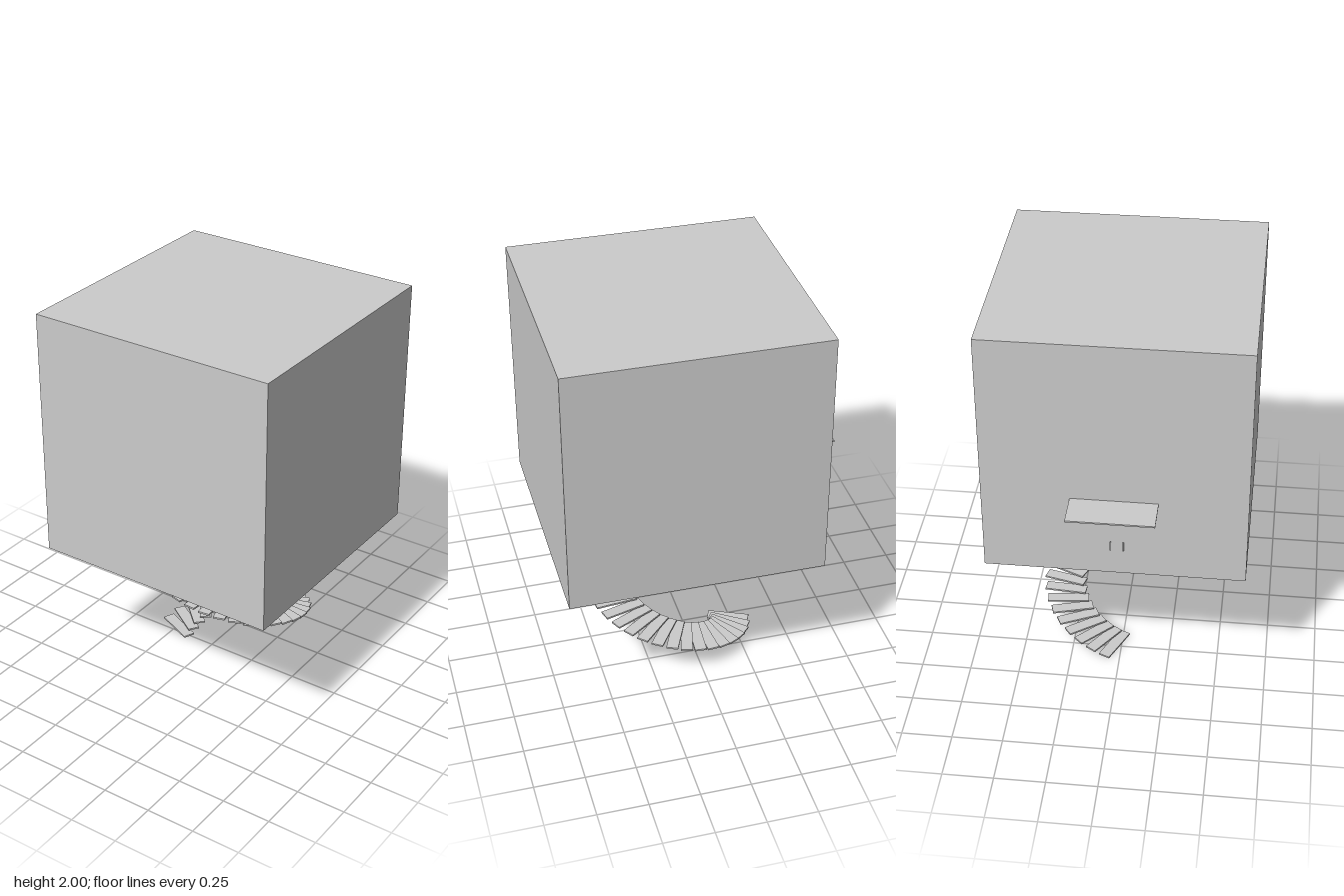
import * as THREE from 'three';

const CX = 0.0875;           // vertical axis of the house and the stair
const HALF = 0.6325;         // half width of the cube
const BASE = 0.735, TOP = 2; // cube floor and roof heights
const T = 0.01;              // panel thickness

export function createModel() {
  const model = new THREE.Group();
  const grey = new THREE.MeshStandardMaterial({ color: 0xcccccc });
  const thin = new THREE.MeshStandardMaterial({ color: 0xcccccc, side: THREE.DoubleSide });

  const add = (name, geometry, x, y, z, parent = model, material = grey) => {
    const mesh = new THREE.Mesh(geometry, material);
    mesh.name = name;
    mesh.position.set(x, y, z);
    parent.add(mesh);
    return mesh;
  };
  const box = (name, w, h, d, x, y, z, parent) =>
    add(name, new THREE.BoxGeometry(w, h, d), x, y, z, parent);
  const group = (name) => {
    const g = new THREE.Group();
    g.name = name;
    model.add(g);
    return g;
  };

  // Hollow cube: roof and four walls
  const shell = group('shell');
  const midY = (BASE + TOP) / 2, height = TOP - BASE;
  box('roof', HALF * 2, T, HALF * 2, CX, TOP - T / 2, 0, shell);
  for (const s of [-1, 1]) {
    box('sideWall', T, height - T, HALF * 2, CX + s * (HALF - T / 2), midY - T / 2, 0, shell);
    box('endWall', HALF * 2 - 2 * T, height - T, T, CX, midY - T / 2, s * (HALF - T / 2), shell);
  }

  // Floor with a square opening
  const square = (path, r) => path.moveTo(-r, -r).lineTo(r, -r).lineTo(r, r).lineTo(-r, r).closePath();
  const floorShape = square(new THREE.Shape(), HALF - T);
  floorShape.holes.push(square(new THREE.Path(), 0.4175));
  const floor = new THREE.ExtrudeGeometry(floorShape, { depth: T, bevelEnabled: false });
  floor.rotateX(-Math.PI / 2);
  add('floor', floor, CX, BASE, 0, shell);

  // Inner partitions beside the opening
  box('partition', T, height - 2 * T, HALF * 2 - 2 * T, -0.34, midY, 0, shell);
  box('partition', HALF * 2 - 2 * T, height - 2 * T, T, CX, midY, -0.43, shell);

  // Balcony slab and double door handles on the right side
  box('balcony', 0.18, 0.008, 0.42, -0.63, 1.157, 0);
  for (const z of [-0.017, 0.044]) {
    const handle = group('doorHandle');
    box('grip', 0.004, 0.05, 0.006, -0.554, 0.9, z, handle);
    for (const y of [0.885, 0.915]) box('stub', 0.011, 0.004, 0.004, -0.549, y, z, handle);
  }

  // Central tube, its lower part open towards the foot of the stair
  const core = group('core');
  const tube = (name, r, y0, y1, gap = 0) =>
    add(name, new THREE.CylinderGeometry(r, r, y1 - y0, 64, 1, true,
      Math.PI * 1.5 + gap, Math.PI * 2 - 2 * gap), CX, (y0 + y1) / 2, 0, core, thin);
  tube('lowerTube', 0.203, 0.55, 0.635, 0.47);
  tube('middleTube', 0.203, 0.635, 0.71);
  tube('upperTube', 0.206, 0.71, TOP - T);

  // Small fixings around the tube
  for (const y of [0.64, 0.7, 0.8, 0.86]) {
    for (let i = 0; i < 8; i++) {
      const a = (i * Math.PI) / 4;
      const stud = box('stud', 0.006, 0.006, 0.012,
        CX + 0.204 * Math.cos(a), y, -0.204 * Math.sin(a), core);
      stud.rotation.y = a;
    }
  }

  // Floating spiral stair, each tread skewed from the radius
  const stair = group('spiralStair');
  for (let i = 0; i < 35; i++) {
    const a = THREE.MathUtils.degToRad(6.5 + 10 * i);
    const tread = box('tread', 0.215, 0.009, 0.06,
      CX - 0.33 * Math.cos(a), 0.0045 + 0.0213 * i, -0.33 * Math.sin(a), stair);
    tread.rotation.y = -a - THREE.MathUtils.degToRad(17.5);
  }
  return model;
}
